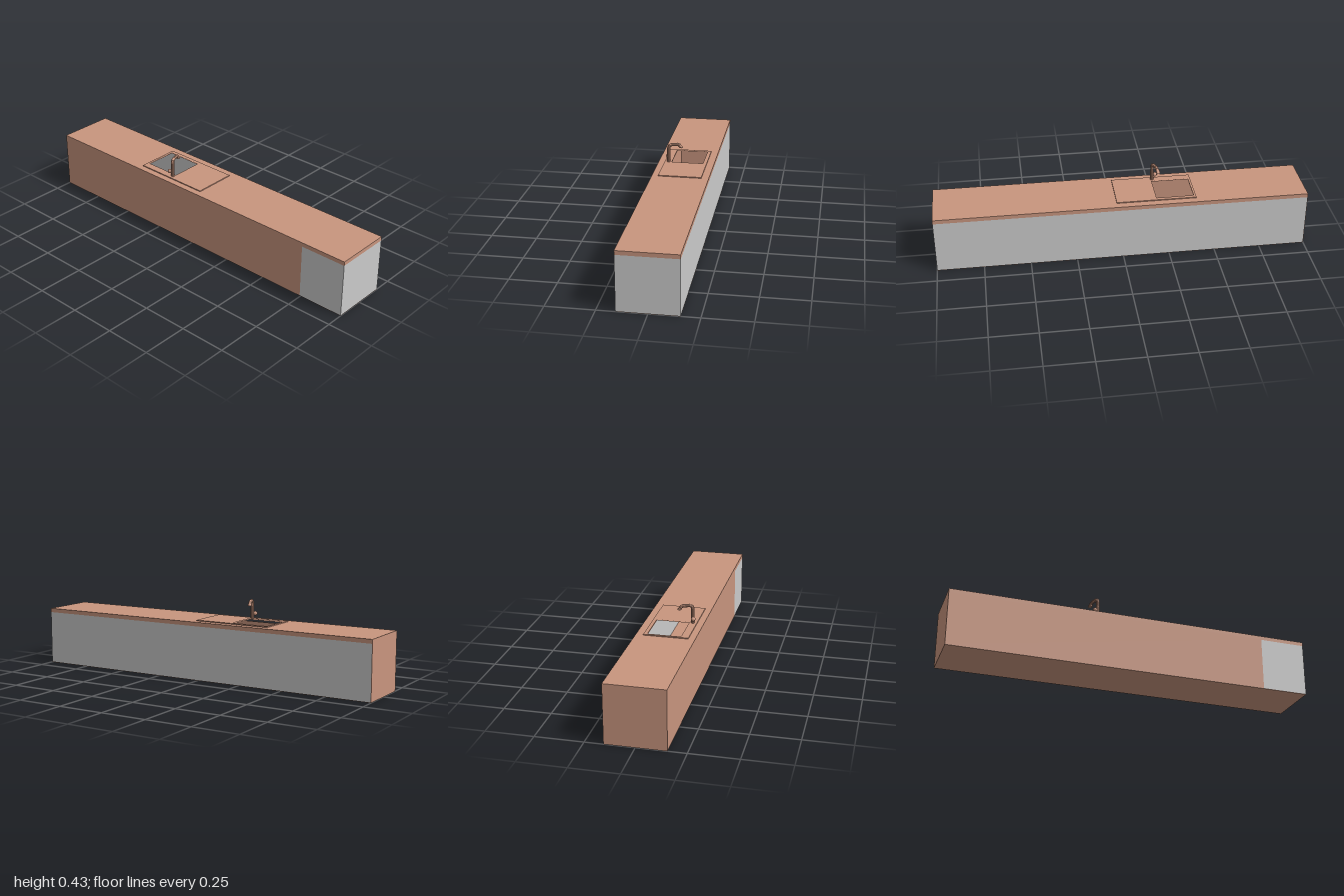
import * as THREE from 'three';

const grey = new THREE.MeshStandardMaterial({ color: 0xcccccc });
const brown = new THREE.MeshStandardMaterial({ color: 0xc8957e });

// Box from its minimum and maximum corners
function panel(name, material, [x0, y0, z0], [x1, y1, z1]) {
  const mesh = new THREE.Mesh(new THREE.BoxGeometry(x1 - x0, y1 - y0, z1 - z0), material);
  mesh.position.set((x0 + x1) / 2, (y0 + y1) / 2, (z0 + z1) / 2);
  mesh.name = name;
  return mesh;
}

// Horizontal slab with a rectangular hole; rectangles are [x0, z0, x1, z1]
function framedSlab(name, outer, inner, y0, y1) {
  const trace = (path, [x0, z0, x1, z1]) =>
    path.moveTo(x0, -z0).lineTo(x1, -z0).lineTo(x1, -z1).lineTo(x0, -z1).closePath();
  const shape = trace(new THREE.Shape(), outer);
  shape.holes.push(trace(new THREE.Path(), inner));
  const geometry = new THREE.ExtrudeGeometry(shape, { depth: y1 - y0, bevelEnabled: false });
  geometry.rotateX(-Math.PI / 2).translate(0, y0, 0);
  const mesh = new THREE.Mesh(geometry, brown);
  mesh.name = name;
  return mesh;
}

// Tube through sections [reach, height, tilt, radius], closed at the end
function faucetPipe(sections, sides = 10) {
  const positions = [], index = [];
  const rows = [...sections, [...sections.at(-1).slice(0, 3), 0]];
  rows.forEach(([reach, height, tilt, radius], i) => {
    for (let j = 0; j < sides; j++) {
      const a = (j / sides) * Math.PI * 2;
      const u = Math.cos(a) * radius;
      positions.push(reach + u * Math.cos(tilt), height - u * Math.sin(tilt), Math.sin(a) * radius);
      if (i === 0) continue;
      const k = (j + 1) % sides, p = (i - 1) * sides, q = i * sides;
      index.push(p + j, q + j, p + k, p + k, q + j, q + k);
    }
  });
  const geometry = new THREE.BufferGeometry();
  geometry.setAttribute('position', new THREE.Float32BufferAttribute(positions, 3));
  geometry.setIndex(index);
  const flat = geometry.toNonIndexed();
  flat.computeVertexNormals();
  return flat;
}

export function createModel() {
  const model = new THREE.Group();
  const W = 0.155, L = 1, H = 0.293, TOP = 0.315, T = 0.002, SPLIT = 0.745;

  // Cabinet shell, open at the top so that the basin can drop in
  const cabinet = new THREE.Group();
  cabinet.name = 'cabinet';
  cabinet.add(
    panel('sidePanel', grey, [W - T, T, -L + T], [W, H, L]),
    panel('frontEndPanel', grey, [-W + T, T, L - T], [W - T, H, L]),
    panel('rearReturnPanel', grey, [-W, T, SPLIT], [-W + T, H, L]),
    panel('rearPanel', brown, [-W, T, -L + T], [-W + T, H, SPLIT]),
    panel('backEndPanel', brown, [-W, T, -L], [W, H, -L + T]),
    panel('bottomPanel', brown, [-W, 0, -L], [W, T, L])
  );
  model.add(cabinet);

  // Countertop, sink plate and basin
  const hole = [-0.08, -0.386, 0.095, -0.185];
  const rim = [hole[0] - 0.003, hole[1] - 0.003, hole[2] + 0.003, hole[3] + 0.003];
  const floor = 0.175;
  model.add(
    framedSlab('countertop', [-W, -L, W, L], rim, H, TOP),
    framedSlab('sinkPlate', [-0.12, -0.398, 0.115, 0.031], hole, TOP, 0.32),
    framedSlab('basinWalls', rim, hole, floor, TOP),
    panel('basinFloor', brown, [rim[0], floor - 0.003, rim[1]], [rim[2], floor, rim[3]])
  );

  // Faucet: upright, bent spout and side knob
  const faucet = new THREE.Group();
  faucet.name = 'faucet';
  const r = 0.0092;
  const pipe = new THREE.Mesh(faucetPipe([
    [0, 0.318, 0, r],
    [0, 0.4, 0, r],
    [0.0045, 0.412, 0.75, r],
    [0.016, 0.4175, Math.PI / 2, r],
    [0.05, 0.4175, Math.PI / 2, r],
    [0.06, 0.413, 2.1, r],
    [0.071, 0.397, Math.PI, 0.0115]
  ]), brown);
  pipe.name = 'spout';
  pipe.position.set(-0.0985, 0, -0.19);
  pipe.rotation.y = 0.33;
  const knob = new THREE.Mesh(new THREE.SphereGeometry(0.012, 12, 8), brown);
  knob.name = 'knob';
  knob.position.set(-0.104, 0.347, -0.206);
  faucet.add(pipe, knob);
  model.add(faucet);

  return model;
}
